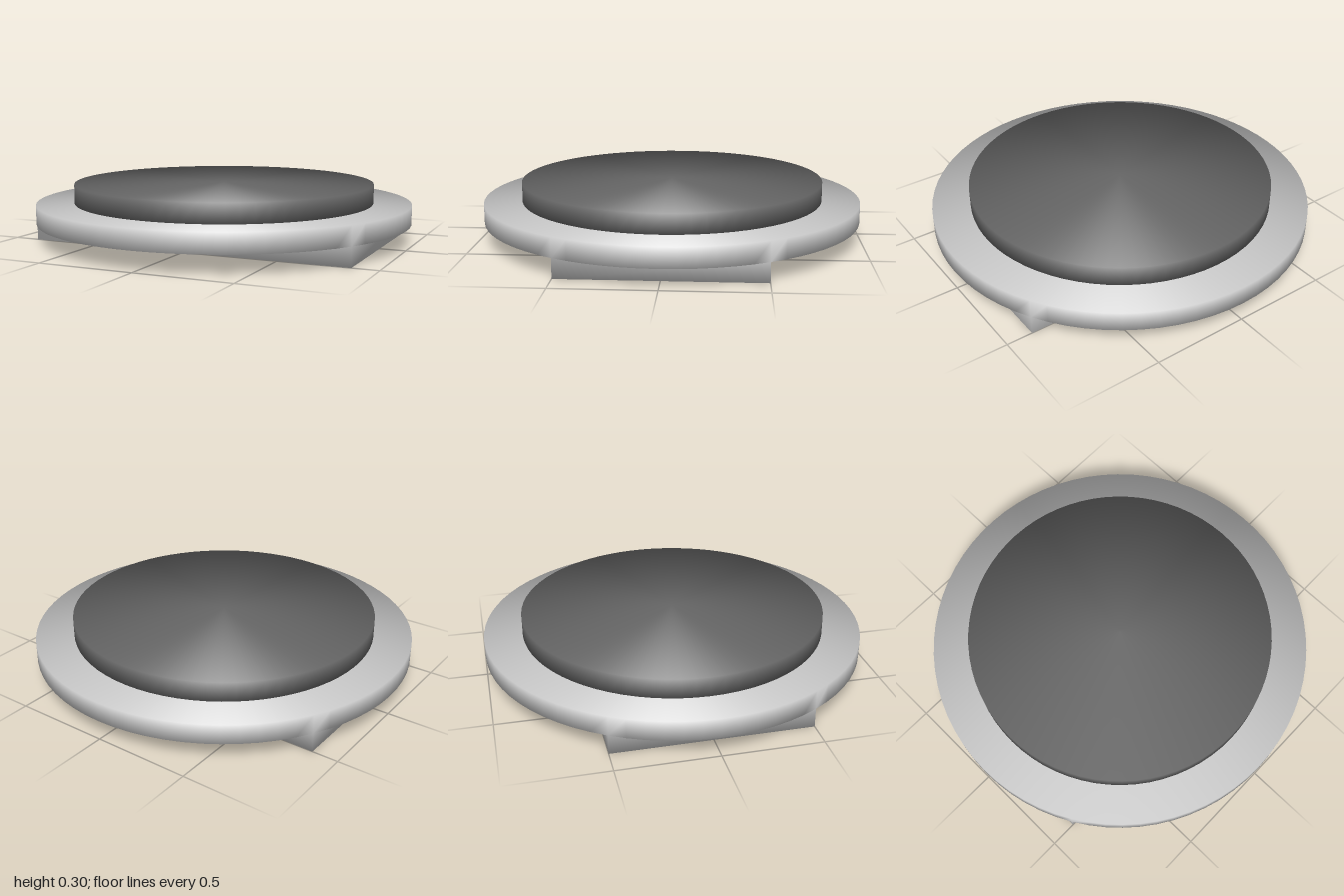
import * as THREE from 'three';
import { mergeGeometries } from 'three/addons/utils/BufferGeometryUtils.js';

const SEGMENTS = 72;
const THICK = 0.1;

// Averages the normals of corners that share a position, for pillowy shading
function soften(geometry) {
  const g = geometry.index ? geometry.toNonIndexed() : geometry;
  const pos = g.attributes.position, nor = g.attributes.normal;
  const sums = new Map();
  const key = (i) => [pos.getX(i), pos.getY(i), pos.getZ(i)].map((v) => Math.round(v * 1e4)).join();
  const n = new THREE.Vector3();
  for (let i = 0; i < pos.count; i++) {
    const k = key(i);
    if (!sums.has(k)) sums.set(k, new THREE.Vector3());
    sums.get(k).add(n.fromBufferAttribute(nor, i));
  }
  for (let i = 0; i < pos.count; i++) {
    n.copy(sums.get(key(i))).normalize();
    nor.setXYZ(i, n.x, n.y, n.z);
  }
  return g;
}

// Flat disc whose underside lies at height y
function disc(radius, y) {
  return new THREE.CylinderGeometry(radius, radius, THICK, SEGMENTS)
    .translate(0, y + THICK / 2, 0).toNonIndexed();
}

function part(name, geometry, color) {
  const mesh = new THREE.Mesh(soften(geometry), new THREE.MeshStandardMaterial({ color }));
  mesh.name = name;
  return mesh;
}

export function createModel() {
  const group = new THREE.Group();
  group.name = 'discOnFoot';

  // Wide plate with a rectangular foot whose corners meet the plate's rim
  const foot = new THREE.BoxGeometry(Math.sqrt(3), THICK, 1)
    .translate(0, THICK / 2, 0).toNonIndexed();
  group.add(part('plateWithFoot', mergeGeometries([disc(1, THICK), foot]), 0xcccccc));

  // Smaller dark disc on top
  group.add(part('topDisc', disc(0.8, 2 * THICK), 0x666666));
  return group;
}
